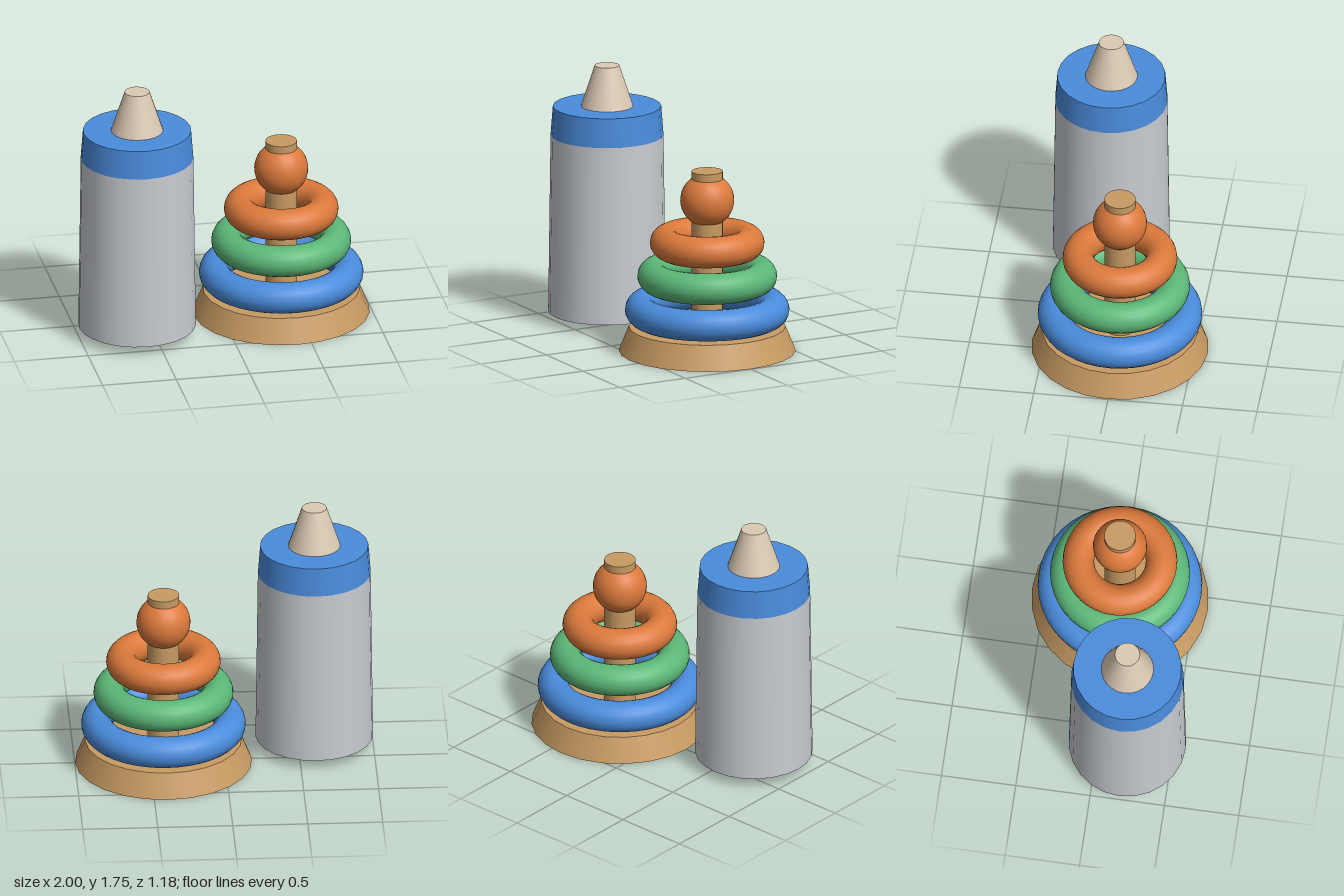
import * as THREE from 'three';

const paint = (name, color) => {
  const m = new THREE.MeshStandardMaterial({ color });
  m.name = name;
  return m;
};

export function createModel() {
  const wood = paint('wood', 0xc89b63);
  const blue = paint('blue', 0x4a8cdc);
  const green = paint('green', 0x5cb878);
  const orange = paint('orange', 0xdc7a3c);
  const grey = paint('bottle grey', 0xc8ccd2);
  const beige = paint('teat beige', 0xdccab4);

  const model = new THREE.Group();
  model.name = 'babyToys';

  const add = (parent, name, geometry, material, y) => {
    const mesh = new THREE.Mesh(geometry, material);
    mesh.name = name;
    mesh.position.y = y;
    parent.add(mesh);
    return mesh;
  };
  // Tapered round part standing between two heights
  const cone = (parent, name, material, rBottom, rTop, y0, y1) =>
    add(parent, name, new THREE.CylinderGeometry(rTop, rBottom, y1 - y0, 24), material, (y0 + y1) / 2);

  // Stacking toy: base, post, three rings and a ball
  const stacker = new THREE.Group();
  stacker.name = 'ringStacker';
  stacker.position.set(0.408, 0, 0);
  model.add(stacker);
  cone(stacker, 'base', wood, 0.59, 0.523, 0, 0.165);
  cone(stacker, 'post', wood, 0.105, 0.105, 0.16, 1.23);
  const rings = [
    ['lowerRing', blue, 0.443, 0.28],
    ['middleRing', green, 0.361, 0.51],
    ['upperRing', orange, 0.277, 0.74],
  ];
  for (const [name, material, radius, y] of rings) {
    const ring = new THREE.TorusGeometry(radius, 0.105, 20, 40).rotateX(Math.PI / 2);
    add(stacker, name, ring, material, y);
  }
  add(stacker, 'ball', new THREE.SphereGeometry(0.18, 28, 20), orange, 1.031);

  // Bottle: body, screw collar and teat
  const bottle = new THREE.Group();
  bottle.name = 'bottle';
  bottle.position.set(-0.608, 0, 0.195);
  model.add(bottle);
  cone(bottle, 'body', grey, 0.392, 0.376, 0.068, 1.28);
  cone(bottle, 'collar', blue, 0.376, 0.361, 1.28, 1.477);
  cone(bottle, 'teat', beige, 0.174, 0.083, 1.477, 1.755);

  return model;
}
